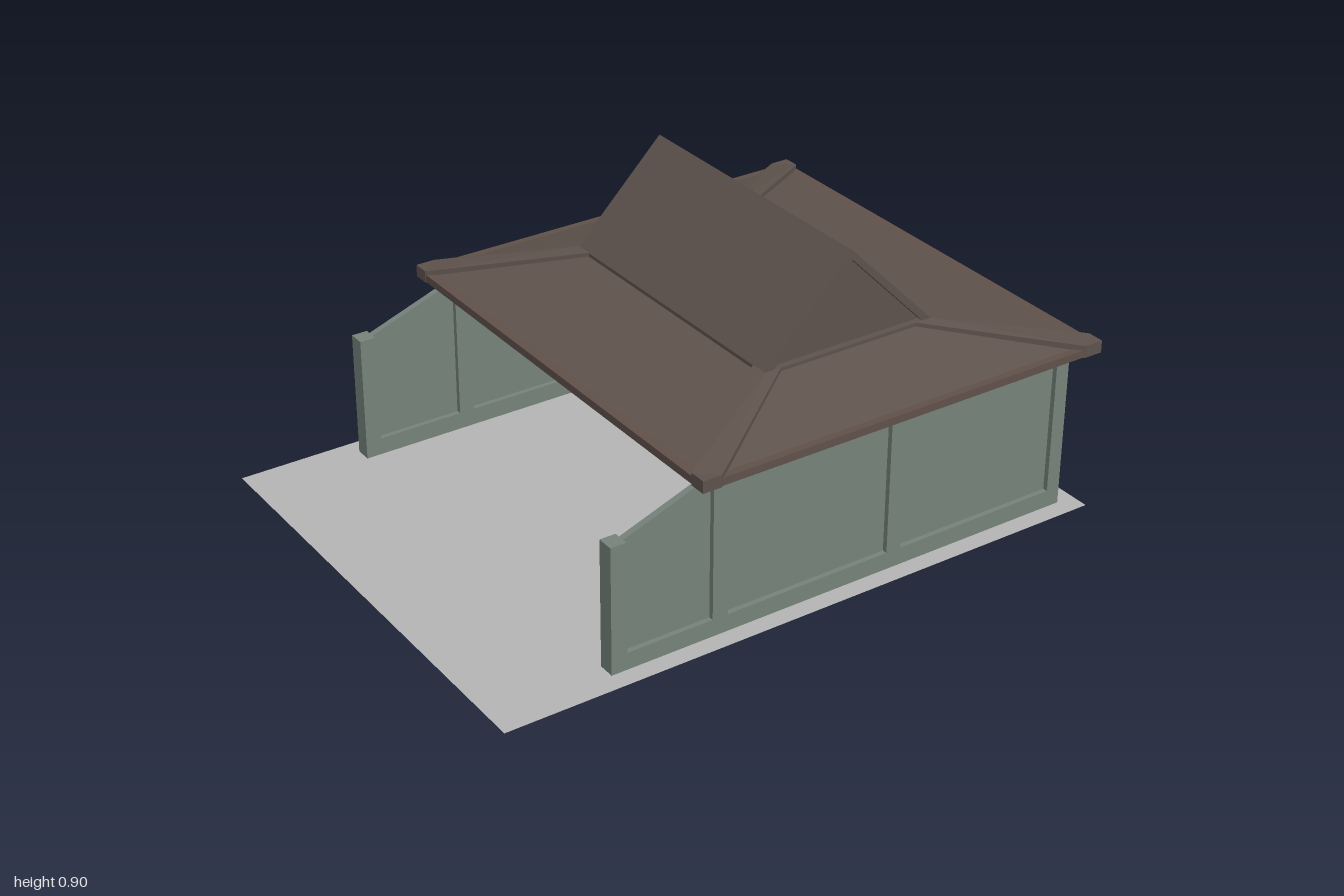
import * as THREE from 'three';
import { ConvexGeometry } from 'three/addons/geometries/ConvexGeometry.js';

const mat = (name, color, side = THREE.FrontSide) => {
  const m = new THREE.MeshStandardMaterial({ color, side });
  m.name = name;
  return m;
};

export function createModel() {
  const wallMat = mat('grey green wall', 0x75827a);
  const roofMat = mat('brown roof', 0x5e524c);
  const trimMat = mat('reddish brown eave', 0x60504a);
  const groundMat = mat('grey ground', 0xb4b4b4, THREE.DoubleSide);
  const model = new THREE.Group();
  model.name = 'pavilion';

  const add = (name, geometry, material, parent = model) => {
    const mesh = new THREE.Mesh(geometry, material);
    mesh.name = name;
    parent.add(mesh);
    return mesh;
  };
  // Box given by its limits on each axis
  const box = (name, x0, x1, y0, y1, z0, z1, material, parent) => {
    const mesh = add(name, new THREE.BoxGeometry(x1 - x0, y1 - y0, z1 - z0), material, parent);
    mesh.position.set((x0 + x1) / 2, (y0 + y1) / 2, (z0 + z1) / 2);
    return mesh;
  };
  // Convex solid from its corner points
  const hull = (name, pts, material, parent) =>
    add(name, new ConvexGeometry(pts.map(p => new THREE.Vector3(...p))), material, parent);
  // Outline in x and y, extruded along z between two limits
  const extrude = (name, pts, z0, z1, material, parent) => {
    const shape = new THREE.Shape(pts.map(p => new THREE.Vector2(...p)));
    const g = new THREE.ExtrudeGeometry(shape, { depth: z1 - z0, bevelEnabled: false });
    return add(name, g.translate(0, 0, z0), material, parent);
  };

  // Ground sheet
  const ground = add('ground', new THREE.PlaneGeometry(1.985, 1.52), groundMat);
  ground.rotation.x = -Math.PI / 2;
  ground.position.x = -0.0075;

  // Long walls: sill, posts and thin recessed panels
  const H = 0.508;
  for (const s of [1, -1]) {
    const wall = new THREE.Group();
    wall.name = s > 0 ? 'frontWall' : 'backWall';
    wall.position.z = s * 0.677;
    model.add(wall);
    box('sill', -0.635, 0.925, 0.001, 0.055, -0.026, 0.026, wallMat, wall);
    [[-0.635, -0.585, 0.4], [-0.31, -0.26, H], [0.285, 0.335, H], [0.88, 0.925, H]]
      .forEach(([a, b, h]) => box('post', a, b, 0.055, h, -0.026, 0.026, wallMat, wall));
    box('panel', -0.26, 0.285, 0.055, H, -0.01, 0.01, wallMat, wall);
    box('panel', 0.335, 0.88, 0.055, H, -0.01, 0.01, wallMat, wall);
    extrude('slopedPanel', [[-0.585, 0.055], [-0.31, 0.055], [-0.31, 0.5], [-0.585, 0.4]],
      -0.01, 0.01, wallMat, wall);
  }

  // End wall between the long walls
  const endWall = new THREE.Group();
  endWall.name = 'endWall';
  model.add(endWall);
  box('sill', 0.873, 0.925, 0.001, 0.055, -0.651, 0.651, wallMat, endWall);
  box('post', 0.873, 0.925, 0.055, H, -0.026, 0.026, wallMat, endWall);
  for (const s of [1, -1]) {
    const p = box('panel', 0.889, 0.909, 0.055, H, 0.026, 0.655, wallMat, endWall);
    p.position.z *= s;
  }

  // Lower hipped roof, centred on the building
  const roof = new THREE.Group();
  roof.name = 'roof';
  roof.position.x = 0.308;
  model.add(roof);
  const EX = 0.687, EZ = 0.752, TX = 0.29, TZ = 0.472;
  box('eave', -EX, EX, 0.505, 0.529, -EZ, EZ, trimMat, roof);
  const hip = [];
  for (const sx of [1, -1]) for (const sz of [1, -1]) {
    hip.push([sx * (EX - 0.012), 0.526, sz * (EZ - 0.012)]);
    hip.push([sx * TX, 0.597, sz * TZ]);
  }
  hull('hippedRoof', hip, roofMat, roof);

  // Raised hip ridges with a flat block at each eave corner
  for (const sx of [1, -1]) for (const sz of [1, -1]) {
    const at = (x, y, z) => [sx * x, y, sz * z];
    const prism = (plan, low, high) => plan.flatMap(([x, z]) => [at(x, low, z), at(x, high, z)]);
    const cx = EX + 0.002, cz = EZ + 0.002;
    const a = [cx, cz - 0.052], b = [cx - 0.06, cz];
    hull('ridgeEnd', prism([a, [cx, cz], b], 0.503, 0.541), roofMat, roof);
    hull('hipRidge', [
      ...prism([a, b], 0.503, 0.541),
      ...prism([[TX, TZ - 0.055], [TX, TZ], [TX - 0.055, TZ]], 0.57, 0.609),
    ], roofMat, roof);
  }

  // Upper gable roof: base course, chevron slopes, recessed gable wall
  box('gableBase', -TX, TX, 0.585, 0.608, -TZ, TZ, roofMat, roof);
  extrude('gableSlopes', [[-TX, 0.608], [-TX + 0.03, 0.608], [0, 0.872], [TX - 0.03, 0.608],
    [TX, 0.608], [0, 0.9]], -TZ, TZ, roofMat, roof);
  extrude('gableWall', [[-TX + 0.02, 0.605], [TX - 0.02, 0.605], [0, 0.88]],
    -TZ + 0.02, TZ - 0.02, roofMat, roof);

  return model;
}
